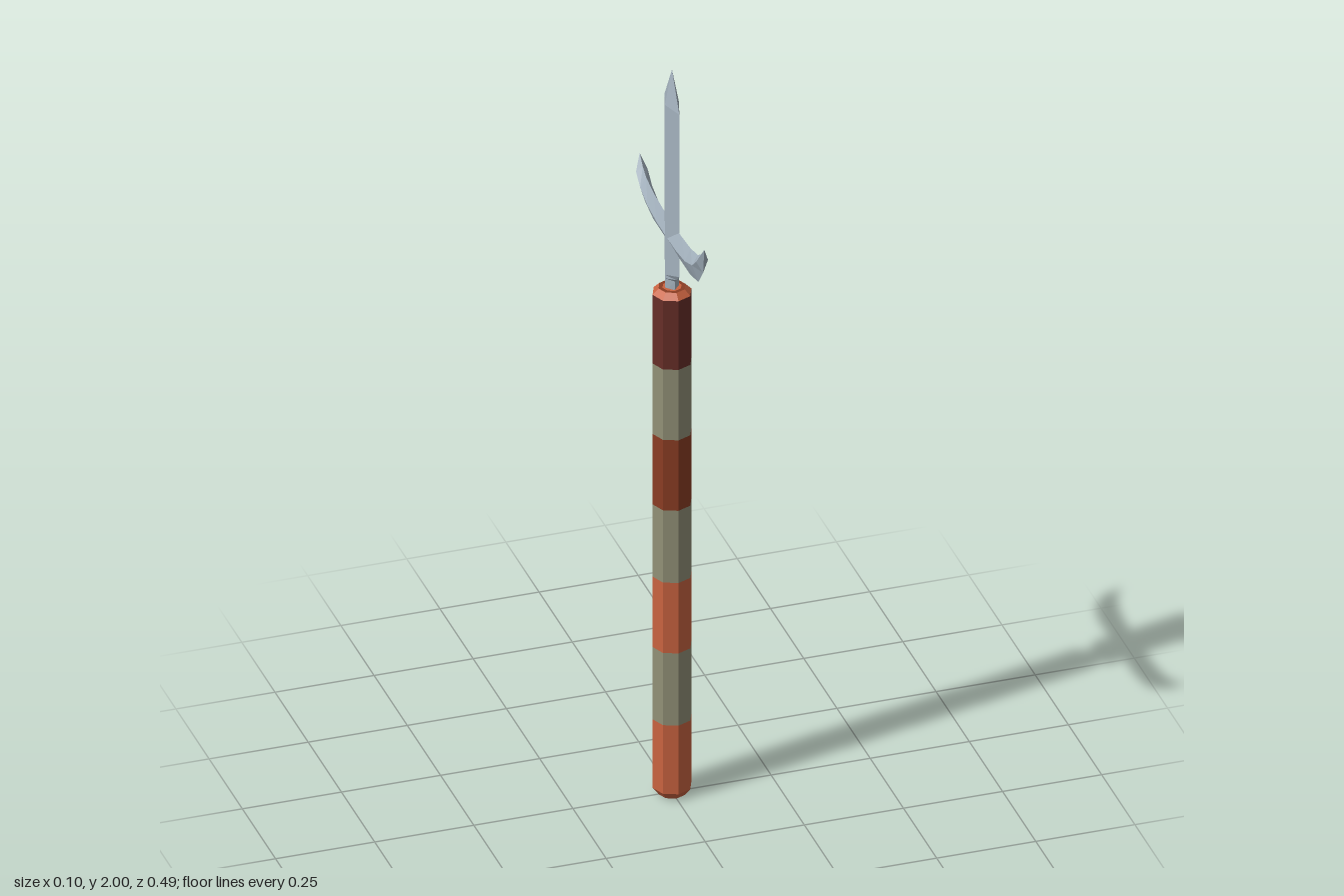
import * as THREE from 'three';

const mat = (name, color, side = THREE.FrontSide) => {
  const m = new THREE.MeshStandardMaterial({ color, flatShading: true, side });
  m.name = name;
  return m;
};

// Skins a list of equal-length rings, ordered counter-clockwise about the loft direction.
function loft(rings) {
  const pos = [];
  const tri = (a, b, c) => {
    const n = b.clone().sub(a).cross(c.clone().sub(a));
    if (n.length() > 1e-9) for (const p of [a, b, c]) pos.push(p.x, p.y, p.z);
  };
  for (let r = 0; r < rings.length - 1; r++) {
    const a = rings[r], b = rings[r + 1], n = a.length;
    for (let i = 0; i < n; i++) {
      const j = (i + 1) % n;
      tri(a[i], a[j], b[j]);
      tri(a[i], b[j], b[i]);
    }
  }
  const g = new THREE.BufferGeometry();
  g.setAttribute('position', new THREE.Float32BufferAttribute(pos, 3));
  g.computeVertexNormals();
  return g;
}

export function createModel() {
  const root = new THREE.Group();
  root.name = 'bladedStaff';
  const orange = mat('orange', 0xc96340);
  const rust = mat('rust', 0x8b3d24);
  const maroon = mat('maroon', 0x672e28);
  const tan = mat('tan', 0x929077);
  const steel = mat('steel', 0xa3b1bd);

  const add = (name, geometry, material) => {
    const mesh = new THREE.Mesh(geometry, material);
    mesh.name = name;
    root.add(mesh);
  };
  const V = (x, y, z) => new THREE.Vector3(x, y, z);

  // Octagonal shaft in painted bands
  const R = 0.049, r = 0.034;
  const edges = [0.02, 0.21, 0.41, 0.605, 0.805, 1.0, 1.195, 1.385];
  const bands = [orange, tan, orange, tan, rust, tan, maroon];
  const drum = (y0, y1, r0, r1) =>
    new THREE.CylinderGeometry(r1, r0, y1 - y0, 8, 1, true).translate(0, (y0 + y1) / 2, 0);
  bands.forEach((m, i) => add(`shaftBand${i + 1}`, drum(edges[i], edges[i + 1], R, R), m));

  // Bevelled ends
  add('bottomBevel', drum(0, 0.02, r, R), orange);
  add('bottomCap', new THREE.CircleGeometry(r, 8).rotateX(Math.PI / 2), rust);
  add('topBevel', drum(1.385, 1.4, R, r), orange);
  add('topRim', new THREE.RingGeometry(0.024, r, 8).rotateX(-Math.PI / 2).translate(0, 1.4, 0), rust);
  add('topCap', new THREE.CircleGeometry(0.024, 8).rotateX(-Math.PI / 2).translate(0, 1.4, 0), orange);

  // Diamond-section blade with neck: [height, half thickness x, half width z]
  const blade = [
    [1.39, 0.018, 0.02], [1.425, 0.018, 0.022], [1.435, 0.018, 0.034],
    [1.455, 0.018, 0.055], [1.905, 0.018, 0.055], [2, 0, 0],
  ];
  add('blade', loft(blade.map(([y, x, z]) => [V(0, y, z), V(x, y, 0), V(0, y, -z), V(-x, y, 0)])), steel);

  // Upswept crossguard: [top z, y, ridge z, y, bottom z, y, half thickness]
  const half = [
    [0, 1.577, 0, 1.54, 0, 1.508, 0.015],
    [0.07, 1.577, 0.07, 1.541, 0.07, 1.508, 0.015],
    [0.14, 1.582, 0.14, 1.549, 0.14, 1.508, 0.015],
    [0.195, 1.594, 0.195, 1.568, 0.2, 1.522, 0.015],
    [0.22, 1.61, 0.226, 1.595, 0.234, 1.566, 0.015],
    [0.243, 1.635, 0.243, 1.635, 0.243, 1.635, 0],
  ];
  const ring = (s) => ([tz, ty, mz, my, bz, by, w]) =>
    [V(w, my, s * mz), V(0, ty, s * tz), V(-w, my, s * mz), V(0, by, s * bz)];
  const back = half.slice(1).reverse().map(ring(-1));
  add('crossguard', loft([...back, ...half.map(ring(1))]), steel);

  return root;
}
